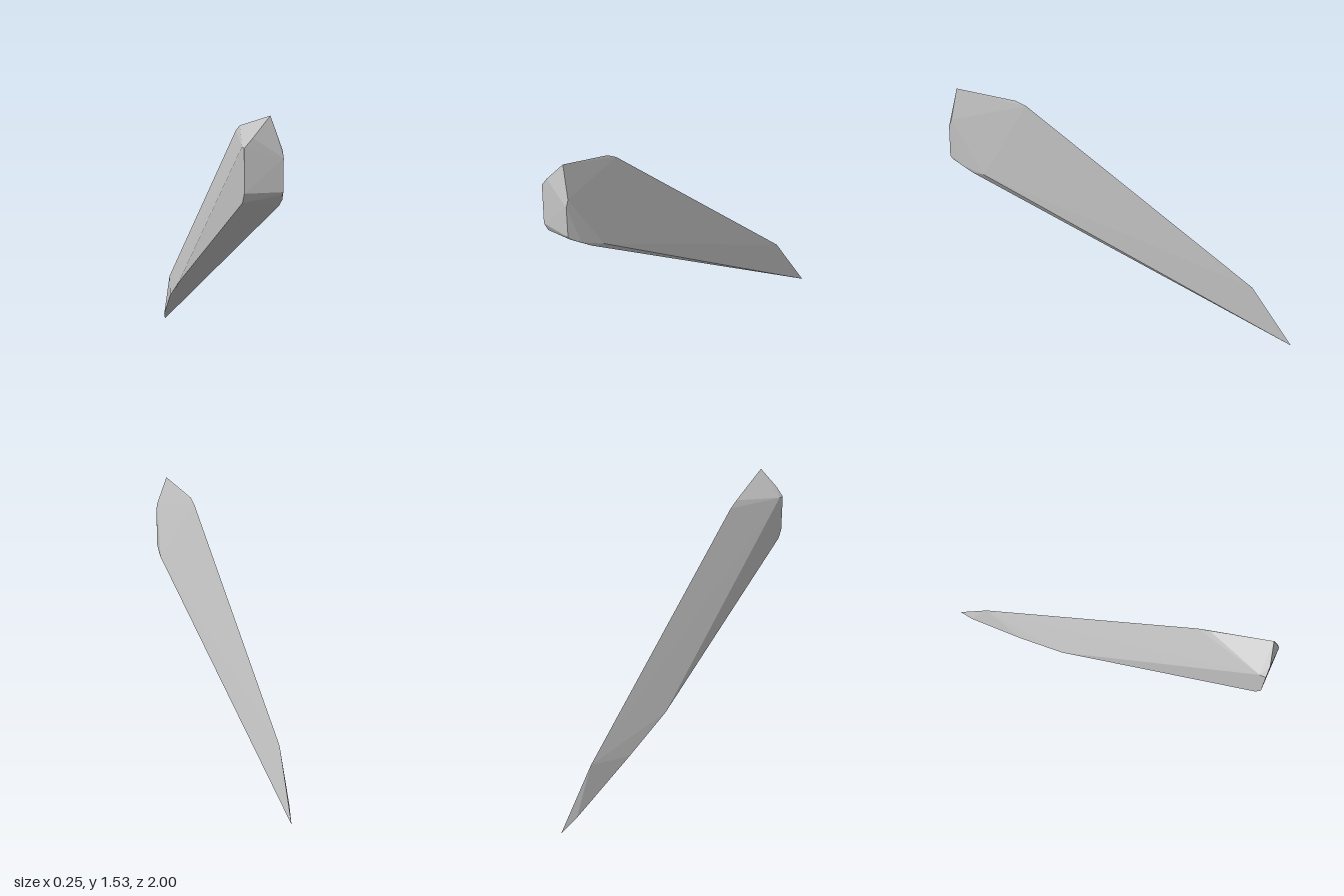
import * as THREE from 'three';
import { ConvexGeometry } from 'three/addons/geometries/ConvexGeometry.js';

const stone = new THREE.MeshStandardMaterial({ color: 0xc4c4c4 });
stone.name = 'stoneGrey';

// Corners of the faceted shard, grouped by edge, as [x, y, z]
const tip = [[0.007, 0, -1]];
const ridge = [
  [-0.025, 0.35, -0.76], [-0.025, 1.425, 0.57], [-0.024, 1.455, 0.63],
  [0.008, 1.507, 0.86], [0.022, 1.53, 0.96],
];
const flatSide = [
  [-0.025, 0.06, -0.9], [-0.093, 0.285, -0.5], [-0.125, 0.435, -0.2],
  [-0.125, 1.1, 0.97], [-0.125, 1.15, 0.995], [-0.125, 1.375, 0.99],
  [-0.125, 1.38, 0.955],
];
const broadSide = [
  [0.122, 1.05, 0.8], [0.108, 1.06, 0.87], [0.102, 1.1, 0.93],
  [0.08, 1.13, 0.985],
];
const bluntEnd = [
  [0.08, 1.15, 1], [0.08, 1.32, 1], [0.079, 1.36, 0.985], [-0.08, 1.425, 0.99],
];

export function createModel() {
  const group = new THREE.Group();
  group.name = 'stoneShard';
  const points = [...tip, ...ridge, ...flatSide, ...broadSide, ...bluntEnd]
    .map((p) => new THREE.Vector3(...p));
  const shard = new THREE.Mesh(new ConvexGeometry(points), stone);
  shard.name = 'shard';
  group.add(shard);
  return group;
}
